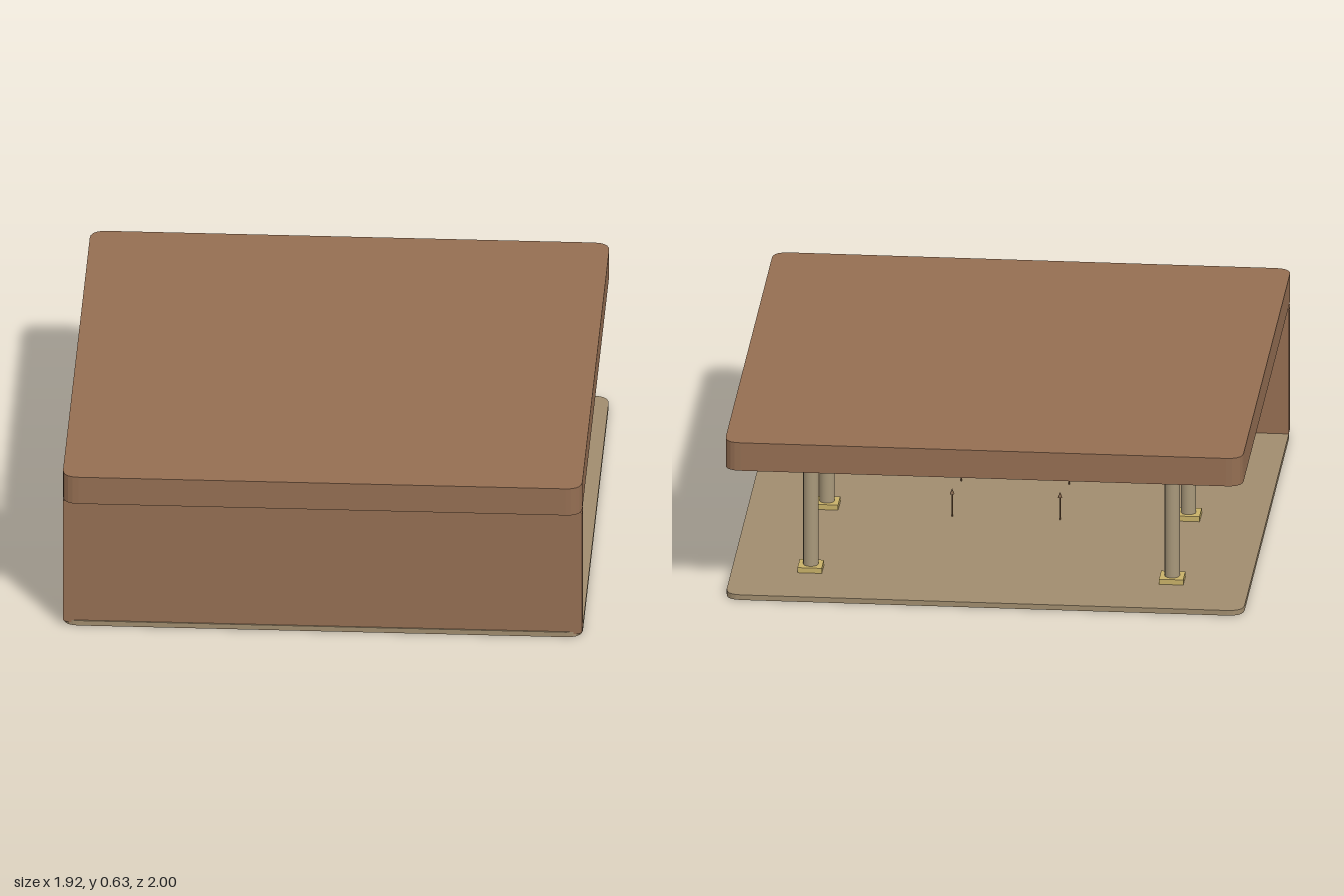
import * as THREE from 'three';

const mat = (name, color) => Object.assign(new THREE.MeshStandardMaterial({ color }), { name });

export function createModel() {
  const wood = mat('brown wood', 0x946e52);
  const stone = mat('tan floor', 0xa08c6e);
  const shaftMat = mat('column stone', 0xa8987a);
  const gold = mat('gold', 0xc8b068);
  const bronze = mat('dark bronze', 0x7a5a3c);

  const model = new THREE.Group();
  model.name = 'pavilion';

  const add = (parent, name, geo, material, x = 0, y = 0, z = 0) => {
    const m = new THREE.Mesh(geo, material);
    m.name = name;
    m.position.set(x, y, z);
    parent.add(m);
    return m;
  };
  // Box given by its bottom height
  const box = (parent, name, material, w, h, d, x, y, z) =>
    add(parent, name, new THREE.BoxGeometry(w, h, d), material, x, y + h / 2, z);
  // Upright cylinder given by its bottom height
  const rod = (parent, name, material, rTop, rBottom, h, x, y, z, sides = 16) =>
    add(parent, name, new THREE.CylinderGeometry(rTop, rBottom, h, sides), material, x, y + h / 2, z);

  // Plate with rounded corners; rx and ry are the corner radii
  const plate = (w, h, depth, rx, ry) => {
    const a = w / 2, b = h / 2;
    const s = new THREE.Shape();
    s.moveTo(-a + rx, -b);
    s.lineTo(a - rx, -b);
    s.quadraticCurveTo(a, -b, a, -b + ry);
    s.lineTo(a, b - ry);
    s.quadraticCurveTo(a, b, a - rx, b);
    s.lineTo(-a + rx, b);
    s.quadraticCurveTo(-a, b, -a, b - ry);
    s.lineTo(-a, -b + ry);
    s.quadraticCurveTo(-a, -b, -a + rx, -b);
    return new THREE.ExtrudeGeometry(s, { depth, bevelEnabled: false, curveSegments: 5 });
  };
  const slab = (w, d, h, r) => plate(w, d, h, r, r).rotateX(-Math.PI / 2);

  // Floor, roof and front wall
  add(model, 'floor', slab(1.92, 1.92, 0.02, 0.06), stone);
  add(model, 'roof', slab(1.92, 2, 0.11, 0.06), wood, 0, 0.525, 0);
  add(model, 'frontWall', plate(1.92, 0.51, 0.055, 0.04, 0.012), wood, 0, 0.265, 0.9);

  // Panels on the inside of the wall
  box(model, 'wallPanel', wood, 1.26, 0.18, 0.01, 0, 0.28, 0.895);
  box(model, 'altarBackboard', bronze, 0.3, 0.4, 0.006, 0, 0.02, 0.887);

  // Three pairs of columns
  for (const x of [-0.67, 0.67]) {
    for (const z of [0.67, 0, -0.665]) {
      const column = new THREE.Group();
      column.name = 'column';
      column.position.set(x, 0, z);
      box(column, 'columnBase', gold, 0.09, 0.02, 0.09, 0, 0.02, 0);
      rod(column, 'columnShaft', shaftMat, 0.028, 0.028, 0.415, 0, 0.04, 0);
      box(column, 'columnCapital', gold, 0.095, 0.016, 0.095, 0, 0.455, 0);
      model.add(column);
    }
  }

  // Stepped altar
  const altar = new THREE.Group();
  altar.name = 'altar';
  model.add(altar);
  [[0.36, 0.27, 0.02], [0.3, 0.235, 0.04], [0.24, 0.19, 0.057]].forEach(([w, d, y]) =>
    box(altar, 'altarStep', gold, w, 0.019, d, 0, y, 0.52));

  // Statue on the altar
  rod(altar, 'statueBody', gold, 0.023, 0.021, 0.11, 0, 0.076, 0.54);
  rod(altar, 'statueHead', gold, 0.028, 0.028, 0.04, 0, 0.187, 0.54);
  rod(altar, 'statueCrown', gold, 0.02, 0.02, 0.013, 0, 0.227, 0.54);
  for (const x of [-0.06, 0.06]) rod(altar, 'altarCandle', bronze, 0.007, 0.007, 0.105, x, 0.076, 0.465, 8);

  // Slender lamp posts along the aisle
  for (const x of [-0.2, 0.2]) {
    for (const z of [0.3, -0.07]) {
      rod(model, 'lampPost', bronze, 0.003, 0.003, 0.09, x, 0.02, z, 6);
      rod(model, 'lampTip', bronze, 0, 0.009, 0.022, x, 0.108, z, 8);
    }
  }
  return model;
}
